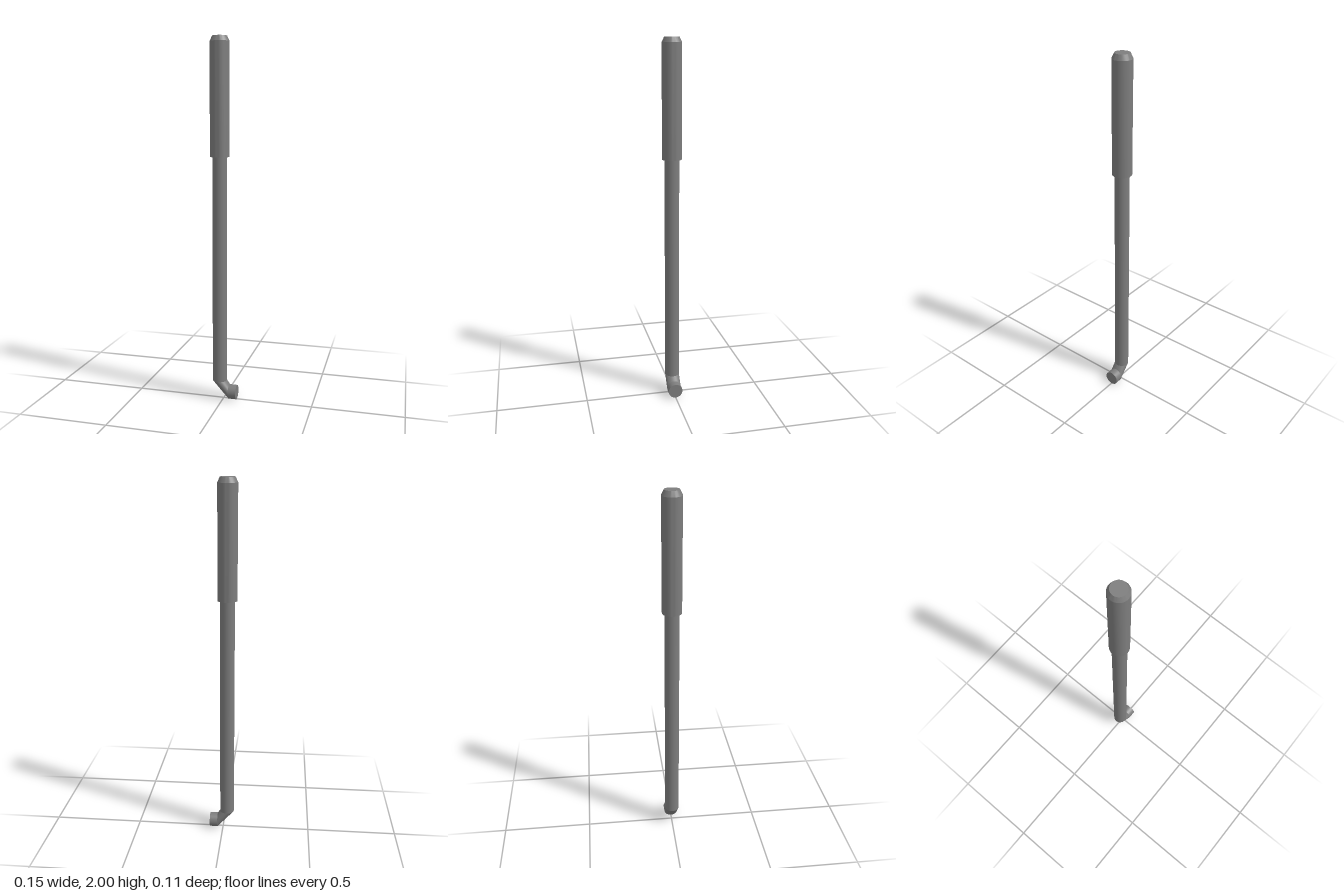
import * as THREE from 'three';
import { toCreasedNormals } from 'three/addons/utils/BufferGeometryUtils.js';

const SIDES = 40;
const AXIS_X = -0.023, SHAFT_R = 0.04; // upright axis and rod radius
const GRIP_Y = 1.366, BEND_Y = 0.104, TIP_Y = 0.04, TIP_X = 0.032, TIP_END = 0.076;

// Skin between a level ring (end of the shaft) and an upright ring (start of the tip)
function elbowGeometry() {
  const pos = [], index = [];
  for (let i = 0; i < SIDES; i++) {
    const a = (i / SIDES) * Math.PI * 2;
    const c = SHAFT_R * Math.cos(a), s = SHAFT_R * Math.sin(a);
    pos.push(AXIS_X + c, BEND_Y, s, TIP_X, TIP_Y + c, s);
    const p = 2 * i, q = 2 * ((i + 1) % SIDES);
    index.push(p, q, p + 1, q, q + 1, p + 1);
  }
  const geo = new THREE.BufferGeometry();
  geo.setAttribute('position', new THREE.Float32BufferAttribute(pos, 3));
  geo.setIndex(index);
  geo.computeVertexNormals();
  return geo;
}

export function createModel() {
  const group = new THREE.Group();
  const material = new THREE.MeshStandardMaterial({ color: 0x7d7d7d, side: THREE.DoubleSide });
  const add = (name, geo, x = 0, y = 0) => {
    const mesh = new THREE.Mesh(geo, material);
    mesh.name = name;
    mesh.position.set(x, y, 0);
    group.add(mesh);
    return mesh;
  };

  // Grip: thick sleeve with a chamfered top
  const profile = [[SHAFT_R, GRIP_Y], [0.053, GRIP_Y], [0.053, 1.972], [0.04, 2], [0, 2]]
    .map(([r, y]) => new THREE.Vector2(r, y));
  add('grip', toCreasedNormals(new THREE.LatheGeometry(profile, SIDES), 0.4), AXIS_X);

  // Shaft: long straight rod
  const length = GRIP_Y - BEND_Y;
  add('shaft', new THREE.CylinderGeometry(SHAFT_R, SHAFT_R, length, SIDES, 1, true),
    AXIS_X, BEND_Y + length / 2);

  // Elbow and the short sideways tip
  add('elbow', elbowGeometry());
  const tipLength = TIP_END - TIP_X;
  add('tip', new THREE.CylinderGeometry(SHAFT_R, SHAFT_R, tipLength, SIDES),
    TIP_X + tipLength / 2, TIP_Y).rotation.z = -Math.PI / 2;

  return group;
}
